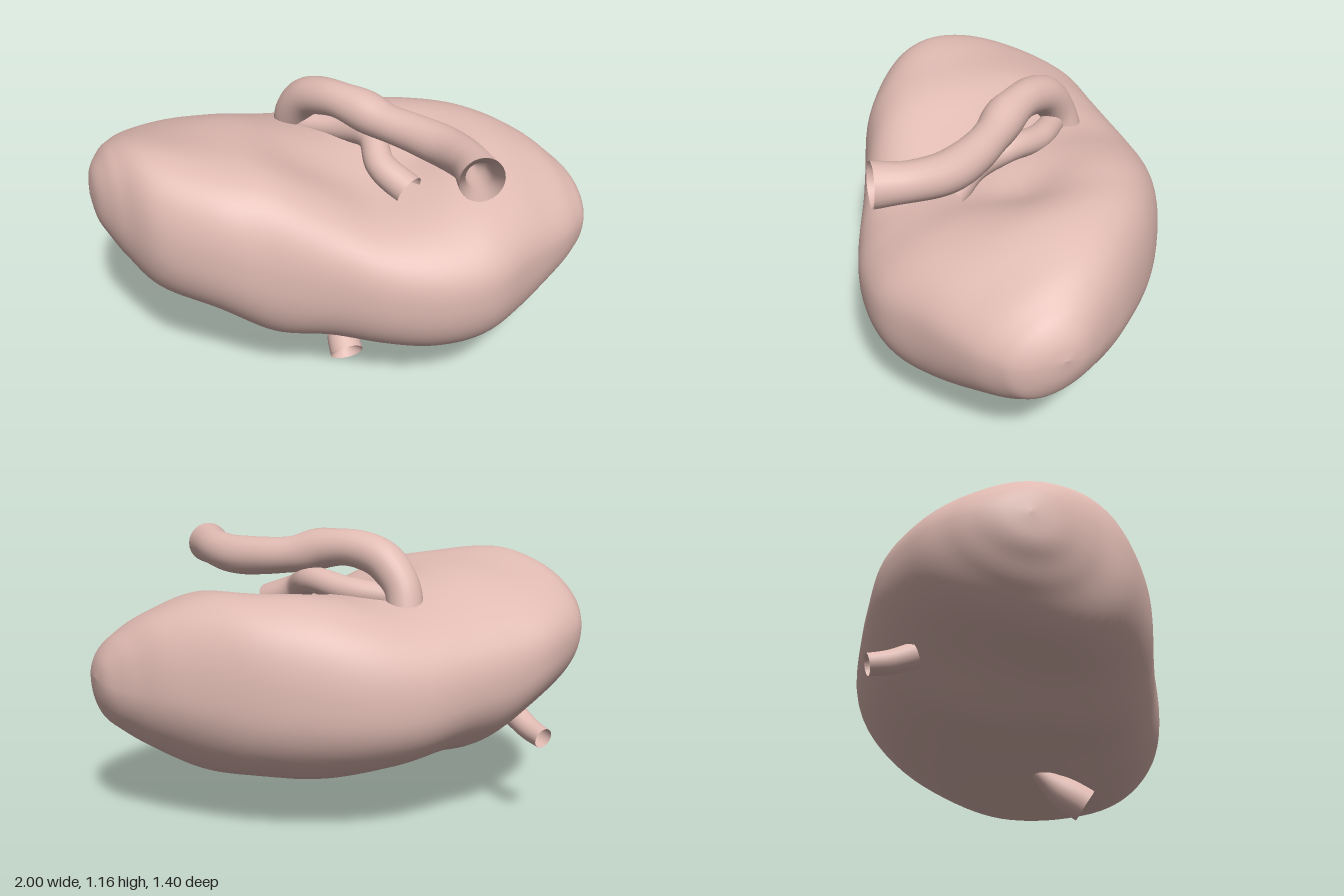
import * as THREE from 'three';

const mat = new THREE.MeshStandardMaterial({ color: 0xdfbab2, roughness: 0.8, side: THREE.DoubleSide });

// Body stations: x, back z, front z, bottom y, top y
const STATIONS = [
  [-1.0, -0.2, -0.2, 0.78, 0.78], [-0.985, -0.31, -0.09, 0.68, 0.87],
  [-0.95, -0.40, 0.0, 0.61, 0.93], [-0.9, -0.48, 0.09, 0.53, 0.98],
  [-0.8, -0.58, 0.24, 0.43, 1.02], [-0.6, -0.67, 0.38, 0.35, 1.01],
  [-0.4, -0.69, 0.46, 0.23, 1.0], [-0.2, -0.69, 0.54, 0.21, 0.95],
  [0.0, -0.68, 0.63, 0.17, 0.91], [0.2, -0.63, 0.69, 0.15, 0.915],
  [0.4, -0.53, 0.69, 0.16, 0.93], [0.6, -0.38, 0.60, 0.20, 0.925],
  [0.8, -0.17, 0.50, 0.30, 0.85], [0.9, -0.03, 0.43, 0.37, 0.78],
  [0.95, 0.05, 0.38, 0.42, 0.73], [0.985, 0.12, 0.30, 0.50, 0.67],
  [1.0, 0.2, 0.2, 0.6, 0.6],
];

function station(t) {
  const n = STATIONS.length - 1, f = t * n, i = Math.min(Math.floor(f), n - 1), s = f - i;
  const at = (k) => STATIONS[Math.max(0, Math.min(n, k))];
  return STATIONS[0].map((_, c) => {
    const [a, b, d, e] = [at(i - 1)[c], at(i)[c], at(i + 1)[c], at(i + 2)[c]];
    return b + 0.5 * s * (d - a + s * (2 * a - 5 * b + 4 * d - e + s * (3 * (b - d) + e - a)));
  });
}

const gauss = (x, z, cx, cz, r) => Math.exp(-((x - cx) ** 2 + (z - cz) ** 2) / (r * r));
const power = (v, e) => Math.sign(v) * Math.abs(v) ** e;

// Lofted bean-like body: the top leans forward on the right, back on the left
function bodyGeometry() {
  const rings = 112, sides = 80, pos = [], idx = [];
  const { smoothstep, lerp } = THREE.MathUtils;
  for (let i = 0; i <= rings; i++) {
    const [x, zb, zf, yb, yt] = station(i / rings);
    const hz = (zf - zb) / 2, hy = (yt - yb) / 2;
    const lean = smoothstep(x, -0.5, 0.35);
    const tilt = lerp(0.06, -0.055, lean) * Math.min(1, hz / 0.4);
    const topShear = lerp(-0.08, 0.14, lean);
    // Sections are fuller in the middle and round towards the ends
    const round = smoothstep(Math.abs(x), 0.55, 0.95);
    const ez = lerp(0.84, 1, round), ey = lerp(0.86, 1, round);
    for (let j = 0; j < sides; j++) {
      const u = (j / sides) * Math.PI * 2, c = Math.cos(u), s = Math.sin(u);
      const up = Math.max(0, s), down = Math.max(0, -s), across = power(c, ez);
      const z = (zf + zb) / 2 + hz * (across - topShear * up * up + 0.12 * down * down);
      let y = (yt + yb) / 2 + hy * power(s, ey) + tilt * up * across;
      // Hollow where the vessels enter, and gentle unevenness
      y -= up * (0.06 * gauss(x, z, 0.1, 0.24, 0.24) + 0.04 * gauss(x, z, 0.32, 0.04, 0.14)
        + 0.03 * gauss(x, z, -0.15, 0.1, 0.16));
      y += 0.008 * s * Math.sin(9 * x + 2) * Math.sin(8 * z + 1);
      pos.push(x, y, z);
    }
  }
  for (let i = 0; i < rings; i++) {
    for (let j = 0; j < sides; j++) {
      const a = i * sides + j, b = i * sides + ((j + 1) % sides);
      idx.push(a, a + sides, b, b, a + sides, b + sides);
    }
  }
  const g = new THREE.BufferGeometry();
  g.setAttribute('position', new THREE.Float32BufferAttribute(pos, 3));
  g.setIndex(idx);
  g.computeVertexNormals();
  return g;
}

// Tube whose radius follows a list of values along the path
function vesselGeometry(points, radii, steps = 64, sides = 24) {
  const curve = new THREE.CatmullRomCurve3(points.map((p) => new THREE.Vector3(...p)));
  const g = new THREE.TubeGeometry(curve, steps, 1, sides, false);
  const p = g.attributes.position, v = new THREE.Vector3();
  const profile = new THREE.SplineCurve(radii.map((r, i) => new THREE.Vector2(i, r)));
  for (let i = 0; i <= steps; i++) {
    const c = curve.getPointAt(i / steps), r = profile.getPoint(i / steps).y;
    for (let j = 0; j <= sides; j++) {
      const k = i * (sides + 1) + j;
      v.fromBufferAttribute(p, k).sub(c).multiplyScalar(r).add(c);
      p.setXYZ(k, v.x, v.y, v.z);
    }
  }
  return g;
}

export function createModel() {
  const model = new THREE.Group();
  const add = (name, geometry) => {
    const mesh = new THREE.Mesh(geometry, mat);
    mesh.name = name;
    model.add(mesh);
  };

  add('body', bodyGeometry());

  // Long vessel arching over the top, with a thick-rimmed open end
  add('mainVessel', vesselGeometry([
    [-0.1, 0.82, -0.35], [-0.105, 0.94, -0.31], [-0.07, 1.04, -0.23], [-0.01, 1.08, -0.12],
    [0.07, 1.075, 0], [0.15, 1.045, 0.1], [0.24, 1.03, 0.22], [0.31, 1.025, 0.36],
    [0.33, 1.035, 0.5], [0.31, 1.045, 0.65],
  ], [0.075, 0.075, 0.08, 0.078, 0.075, 0.085, 0.075, 0.078, 0.082, 0.08, 0.078, 0.088], 96));
  add('mainVesselLining', vesselGeometry(
    [[0.33, 1.035, 0.5], [0.325, 1.038, 0.57], [0.31, 1.045, 0.65]],
    [0.002, 0.045, 0.05, 0.052, 0.055, 0.088], 24));

  // Smaller vessel lying in the hollow beneath
  add('branchVessel', vesselGeometry(
    [[-0.08, 0.9, -0.28], [0.05, 0.92, -0.14], [0.12, 0.945, 0.03], [0.11, 0.89, 0.17], [0.18, 0.83, 0.3]],
    [0.05, 0.055, 0.055, 0.06, 0.065]));

  // Short flared stub below
  add('lowerVessel', vesselGeometry(
    [[-0.04, 0.2, 0.06], [-0.05, 0.13, 0.14], [-0.06, 0.09, 0.2], [-0.065, 0.055, 0.26]],
    [0.03, 0.04, 0.06, 0.068, 0.07], 24));
  add('lowerVesselEnd', vesselGeometry(
    [[-0.062, 0.077, 0.225], [-0.064, 0.066, 0.243], [-0.065, 0.055, 0.26]], [0.002, 0.045, 0.07], 8));

  // Small open stub at the back
  add('backVessel', vesselGeometry(
    [[-0.53, 0.41, -0.52], [-0.535, 0.37, -0.61], [-0.54, 0.35, -0.69]],
    [0.05, 0.048, 0.045, 0.042], 16));
  return model;
}
